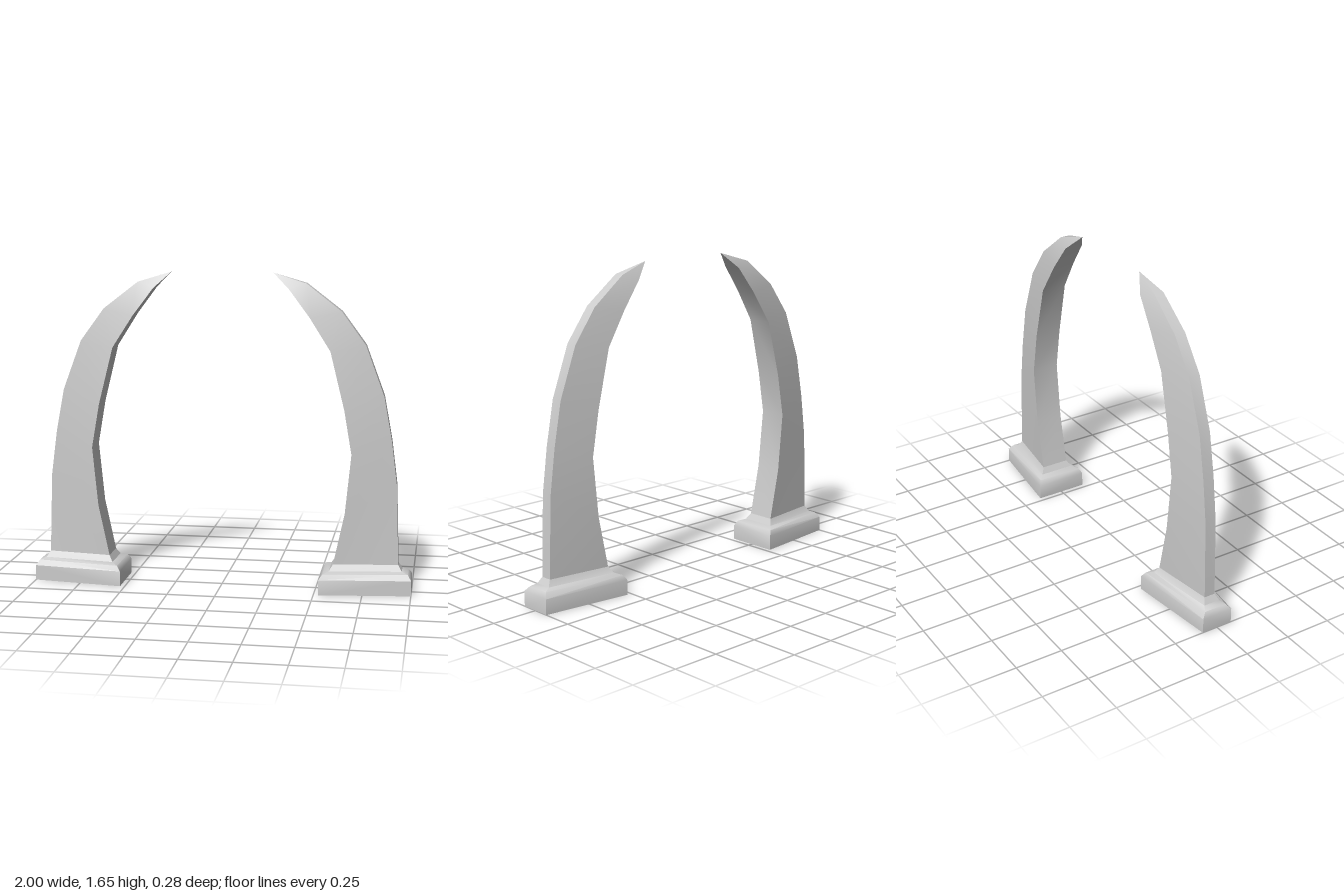
import * as THREE from 'three';
import { toCreasedNormals } from 'three/addons/utils/BufferGeometryUtils.js';

// Each ring: [outer x, outer y, outer half depth, inner x, inner y, inner half depth]
const BASE = [
  [1.0, 0, 0.085, 0.525, 0, 0.14],
  [1.0, 0.08, 0.085, 0.525, 0.08, 0.14],
  [0.982, 0.106, 0.062, 0.543, 0.106, 0.125],
  [0.95, 0.118, 0.045, 0.575, 0.118, 0.095],
  [0.93, 0.15, 0.03, 0.595, 0.15, 0.075],
];
const TUSK = [
  [0.93, 0.15, 0.03, 0.595, 0.15, 0.075],
  [0.915, 0.57, 0.03, 0.652, 0.42, 0.075],
  [0.885, 0.8, 0.03, 0.682, 0.73, 0.074],
  [0.842, 1.03, 0.03, 0.642, 0.96, 0.073],
  [0.745, 1.29, 0.03, 0.567, 1.26, 0.068],
  [0.62, 1.46, 0.029, 0.458, 1.43, 0.06],
  [0.438, 1.6, 0.026, 0.352, 1.57, 0.05],
];
const TIP = [0.265, 1.652, 0];

// Skin four-cornered rings with open ends, closing to a point if a tip is given
function loft(rings, side, tip) {
  const corners = rings.map(([ox, oy, oz, ix, iy, iz]) => [
    [ox, oy, oz], [ox, oy, -oz], [ix, iy, -iz], [ix, iy, iz],
  ]);
  const pos = [];
  const tri = (a, b, c) => {
    const order = side > 0 ? [a, b, c] : [a, c, b];
    for (const [x, y, z] of order) pos.push(x * side, y, z);
  };
  corners.forEach((ring, i) => {
    const next = corners[i + 1];
    for (let k = 0; k < 4; k++) {
      const n = (k + 1) % 4;
      if (next) {
        tri(ring[k], ring[n], next[n]);
        tri(ring[k], next[n], next[k]);
      } else if (tip) tri(ring[k], ring[n], tip);
    }
  });
  const geometry = new THREE.BufferGeometry();
  geometry.setAttribute('position', new THREE.Float32BufferAttribute(pos, 3));
  return toCreasedNormals(geometry, THREE.MathUtils.degToRad(35));
}

export function createModel() {
  const model = new THREE.Group();
  model.name = 'tuskPair';
  const material = new THREE.MeshStandardMaterial({ color: 0xcccccc, side: THREE.DoubleSide });

  // Mirrored tusks, each on a hollow flared base
  for (const [name, side] of [['left', 1], ['right', -1]]) {
    const group = new THREE.Group();
    group.name = `${name}Tusk`;
    const base = new THREE.Mesh(loft(BASE, side), material);
    base.name = `${name}Base`;
    const horn = new THREE.Mesh(loft(TUSK, side, TIP), material);
    horn.name = `${name}Horn`;
    group.add(base, horn);
    model.add(group);
  }
  return model;
}
